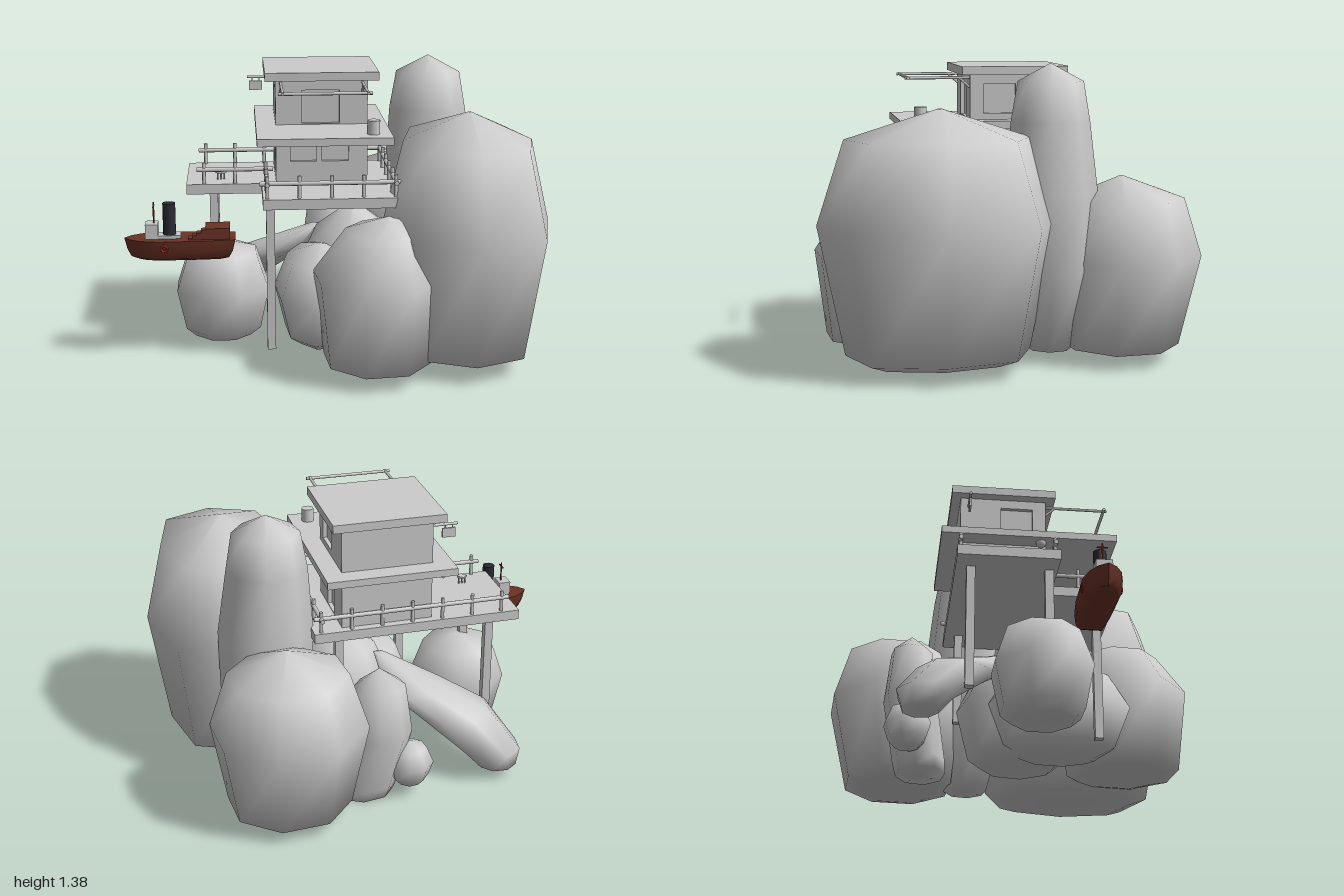
import * as THREE from 'three';
import { toCreasedNormals } from 'three/addons/utils/BufferGeometryUtils.js';

const paint = (color) => new THREE.MeshStandardMaterial({ color });
const GREY = paint(0xcccccc), HULL = paint(0x6b3326), DARK = paint(0x2a2a33), RED = paint(0xa02015);

function add(parent, name, geometry, material = GREY) {
  const mesh = new THREE.Mesh(geometry, material);
  mesh.name = name;
  parent.add(mesh);
  return mesh;
}

// Box given by its limits on each axis
function box(parent, name, x0, x1, y0, y1, z0, z1, material) {
  const m = add(parent, name, new THREE.BoxGeometry(x1 - x0, y1 - y0, z1 - z0), material);
  m.position.set((x0 + x1) / 2, (y0 + y1) / 2, (z0 + z1) / 2);
  return m;
}

// Round bar between two points
function bar(parent, name, a, b, r, material, sides = 8) {
  const p = new THREE.Vector3(...a), q = new THREE.Vector3(...b);
  const m = add(parent, name, new THREE.CylinderGeometry(r, r, p.distanceTo(q), sides), material);
  m.position.copy(p).add(q).multiplyScalar(0.5);
  m.quaternion.setFromUnitVectors(new THREE.Vector3(0, 1, 0), q.sub(p).normalize());
  return m;
}

const outlineOf = (points) => points.map((p) => new THREE.Vector2(...p));
const rect = (x0, x1, y0, y1) => outlineOf([[x0, y0], [x1, y0], [x1, y1], [x0, y1]]);

function slab(parent, name, points, depth, holes = []) {
  const s = new THREE.Shape(points);
  holes.forEach((h) => s.holes.push(new THREE.Path(rect(...h))));
  return add(parent, name, new THREE.ExtrudeGeometry(s, { depth, bevelEnabled: false }));
}

// Skin over stacked rings of equal point count, closed at both ends
function loft(rings, crease) {
  const n = rings[0].length, pos = [], idx = [];
  const centre = (ring) => [0, 1, 2].map((k) => ring.reduce((s, p) => s + p[k], 0) / n);
  rings.forEach((ring) => ring.forEach((p) => pos.push(...p)));
  const bottom = rings.length * n, top = bottom + 1, last = (rings.length - 1) * n;
  pos.push(...centre(rings[0]), ...centre(rings[rings.length - 1]));
  for (let i = 0; i < n; i++) {
    const j = (i + 1) % n;
    for (let r = 0; r < last; r += n) idx.push(r + i, r + n + i, r + j, r + j, r + n + i, r + n + j);
    idx.push(bottom, i, j, top, last + j, last + i);
  }
  const g = new THREE.BufferGeometry();
  g.setAttribute('position', new THREE.Float32BufferAttribute(pos, 3));
  g.setIndex(idx);
  return toCreasedNormals(g, crease);
}

// Eight-sided boulder; rows are [height, scale, shift x, shift z], corner > 1 squares it off
function boulder(parent, name, cx, cz, rx, rz, turn, rows, corner = 1) {
  const rings = rows.map(([y, s, dx = 0, dz = 0]) => Array.from({ length: 8 }, (_, i) => {
    const a = turn + (i * Math.PI) / 4, k = i % 2 ? s * corner : s;
    return [cx + dx + rx * k * Math.cos(a), y, cz + dz + rz * k * Math.sin(a)];
  }));
  add(parent, name, loft(rings, 1.7));
}

// Rail with posts from a to b, overhanging the end posts a little
function railing(parent, name, a, b, count) {
  const g = new THREE.Group();
  g.name = name;
  const at = (t, y) => [a[0] + (b[0] - a[0]) * t, y, a[1] + (b[1] - a[1]) * t];
  const over = 0.035 / Math.hypot(b[0] - a[0], b[1] - a[1]);
  bar(g, 'handrail', at(-over, 0.885), at(1 + over, 0.885), 0.011);
  for (let i = 0; i < count; i++) {
    const t = i / (count - 1);
    bar(g, 'railPost', at(t, 0.81), at(t, 0.92), 0.009);
  }
  parent.add(g);
}

function makeRocks() {
  const g = new THREE.Group();
  g.name = 'rocks';
  const tip = 0.02;
  boulder(g, 'largeBoulder', 0.607, 0.345, 0.393, 0.54, 0,
    [[0.055, 0.6], [0.09, 0.78], [0.68, 1], [1.06, 0.77], [1.19, tip, 0.01, -0.01]], 1.08);
  boulder(g, 'tallSpire', 0.49, -0.19, 0.225, 0.215, 0.2,
    [[0.06, 0.5], [0.45, 0.97, 0.02], [0.8, 1, 0.015], [1.12, 0.84], [1.3, 0.7], [1.38, tip]]);
  boulder(g, 'backBoulder', 0.48, -0.56, 0.37, 0.345, 0.32,
    [[0.055, 0.6, 0, 0.03], [0.07, 0.8, 0, 0.03], [0.49, 1], [0.76, 0.76], [0.86, tip, 0, 0.03]]);
  boulder(g, 'frontBoulder', 0.17, 0.56, 0.305, 0.33, 0.3,
    [[0.06, 0.65], [0.075, 0.84], [0.48, 1], [0.69, 0.6, 0.03], [0.755, tip, 0.05]]);
  boulder(g, 'leftBoulder', -0.545, 0.07, 0.24, 0.24, 0.39,
    [[0.045, 0.6], [0.09, 0.82], [0.29, 1], [0.47, 0.74], [0.52, tip]]);
  boulder(g, 'middleBoulder', -0.07, 0.2, 0.23, 0.36, 0.25,
    [[0.05, 0.5], [0.1, 0.78], [0.3, 1], [0.47, 0.72], [0.53, tip]]);
  boulder(g, 'centreBoulder', 0.1, 0.03, 0.28, 0.3, 0.2,
    [[0.055, 0.6], [0.1, 0.8], [0.35, 1], [0.57, 0.65], [0.7, tip]]);
  boulder(g, 'narrowBoulder', 0.035, -0.495, 0.16, 0.13, 0.2,
    [[0, 0.92, 0.06, 0.06], [0.06, 0.97, 0.05, 0.05], [0.35, 1], [0.6, 0.78], [0.69, tip]]);
  boulder(g, 'smallBoulder', -0.115, -0.51, 0.115, 0.115, 0.3,
    [[0.06, 0.5], [0.1, 0.8], [0.17, 1], [0.25, 0.7], [0.285, tip]]);
  boulder(g, 'leaningRock', -0.42, -0.33, 0.19, 0.17, 0.5,
    [[0.06, 0.5, -0.16, -0.14], [0.15, 0.78, -0.13, -0.12], [0.32, 1, 0.03, 0.01], [0.42, 0.82, 0.2, 0.12], [0.55, 0.15, 0.34, 0.24]]);
  return g;
}

// One storey: a core with window openings in the front and side walls
function storey(parent, name, y0, y1, frontHoles, sideHoles) {
  const g = new THREE.Group();
  g.name = name;
  box(g, 'innerWalls', -0.26, 0.14, y0, y1, -0.29, 0.11);
  slab(g, 'frontWall', rect(-0.28, 0.16, y0, y1), 0.02, frontHoles).position.z = 0.11;
  for (const x of [-0.26, 0.16]) {
    const wall = slab(g, 'sideWall', rect(-0.29, 0.11, y0, y1), 0.02, sideHoles);
    wall.rotation.y = -Math.PI / 2;
    wall.position.x = x;
  }
  parent.add(g);
}

function makeHouse() {
  const g = new THREE.Group();
  g.name = 'house';
  // L-shaped platform on posts
  const platform = slab(g, 'platform', outlineOf(
    [[-0.71, 0.33], [-0.71, -0.14], [-0.35, -0.14], [-0.35, -0.46], [0.3, -0.46], [0.3, 0.33]]), 0.048);
  platform.rotation.x = -Math.PI / 2;
  platform.position.y = 0.768;
  for (const [x, z, foot] of [[-0.315, 0.36, 0.06], [-0.58, 0.1, 0.2], [-0.58, -0.26, 0.18], [0.17, -0.26, 0.3]])
    box(g, 'supportPost', x - 0.02, x + 0.02, foot, 0.77, z - 0.02, z + 0.02);

  railing(g, 'backRailing', [-0.625, -0.31], [0.265, -0.31], 7);
  railing(g, 'wingRailing', [-0.625, 0.125], [-0.33, 0.125], 3);
  railing(g, 'sideRailing', [-0.33, 0.125], [-0.33, 0.43], 3);
  railing(g, 'frontRailing', [-0.33, 0.43], [0.265, 0.43], 5);
  railing(g, 'rightRailing', [0.265, 0.43], [0.265, -0.31], 6);

  // Two storeys, each under a slab
  storey(g, 'lowerStorey', 0.81, 1.07, [[-0.21, -0.085, 0.92, 1.025], [-0.06, 0.07, 0.92, 1.025]], [[-0.14, -0.02, 0.82, 1.0]]);
  box(g, 'upperDeck', -0.375, 0.25, 1.065, 1.1, -0.385, 0.465);
  storey(g, 'upperStorey', 1.1, 1.32, [[-0.155, 0.025, 1.105, 1.265]], [[-0.09, 0.065, 1.13, 1.27]]);
  box(g, 'roof', -0.33, 0.21, 1.315, 1.355, -0.335, 0.175);

  // Awning frame reaching out over the deck
  for (const x of [-0.255, 0.135]) {
    bar(g, 'awningArm', [x, 1.3, 0.12], [x, 1.3, 0.44], 0.007);
    bar(g, 'awningBrace', [x, 1.255, 0.13], [x, 1.3, 0.18], 0.006);
  }
  bar(g, 'awningCrossbar', [-0.275, 1.3, 0.425], [0.155, 1.3, 0.425], 0.008);

  // Hanging board, lamp, barrel and small table
  bar(g, 'boardArm', [-0.41, 1.27, -0.25], [-0.27, 1.27, -0.25], 0.007);
  box(g, 'hangingBoard', -0.4, -0.335, 1.205, 1.25, -0.255, -0.245);
  for (const x of [-0.385, -0.35]) bar(g, 'boardHanger', [x, 1.25, -0.25], [x, 1.27, -0.25], 0.003);
  add(g, 'lamp', new THREE.SphereGeometry(0.025, 12, 8)).position.set(-0.325, 1.06, 0.1);
  bar(g, 'barrel', [0.165, 1.1, 0.37], [0.165, 1.165, 0.37], 0.03, GREY, 16);
  bar(g, 'tableTop', [-0.545, 0.848, 0.035], [-0.545, 0.857, 0.035], 0.026, GREY, 4);
  for (const d of [-0.016, 0, 0.016])
    bar(g, 'tableLeg', [-0.545 + d, 0.81, 0.035], [-0.545 + d, 0.85, 0.035], 0.004);
  return g;
}

function makeBoat() {
  const g = new THREE.Group();
  g.name = 'boat';
  const half = [[0.26, 0.07], [0.12, 0.085], [-0.1, 0.09], [-0.18, 0.07], [-0.23, 0.04]];
  const outline = [...half, [-0.26, 0], ...half.map(([x, z]) => [x, -z]).reverse()];
  const level = (y, sx, sz) => outline.map(([x, z]) => [x * sx, y, z * sz]);
  const hull = add(g, 'hull', loft([level(0.5, 0.72, 0.4), level(0.515, 0.88, 0.75), level(0.55, 0.95, 0.95), level(0.605, 1, 1)], 0.7), HULL);
  hull.position.set(-0.74, 0, 0.3);
  // Raised stern with steps leading up to it
  box(g, 'sternCabin', -0.62, -0.505, 0.6, 0.657, 0.24, 0.36, HULL);
  for (let i = 0; i < 4; i++)
    box(g, 'sternStep', -0.7 + i * 0.02, -0.62, 0.6, 0.613 + i * 0.012, 0.31, 0.36, HULL);
  box(g, 'deckHouse', -0.84, -0.735, 0.6, 0.62, 0.265, 0.335);
  box(g, 'bridge', -0.9, -0.84, 0.6, 0.675, 0.262, 0.338);
  bar(g, 'funnel', [-0.788, 0.61, 0.3], [-0.788, 0.77, 0.3], 0.03, DARK, 16);
  bar(g, 'mast', [-0.86, 0.67, 0.3], [-0.86, 0.775, 0.3], 0.004, RED);
  bar(g, 'mastArm', [-0.86, 0.755, 0.275], [-0.86, 0.755, 0.325], 0.004, RED);
  for (const z of [0.213, 0.387])
    add(g, 'lifeRing', new THREE.TorusGeometry(0.014, 0.005, 8, 16), RED).position.set(-0.81, 0.572, z);
  return g;
}

export function createModel() {
  const model = new THREE.Group();
  model.name = 'cliffHouse';
  model.add(makeRocks(), makeHouse(), makeBoat());
  return model;
}
